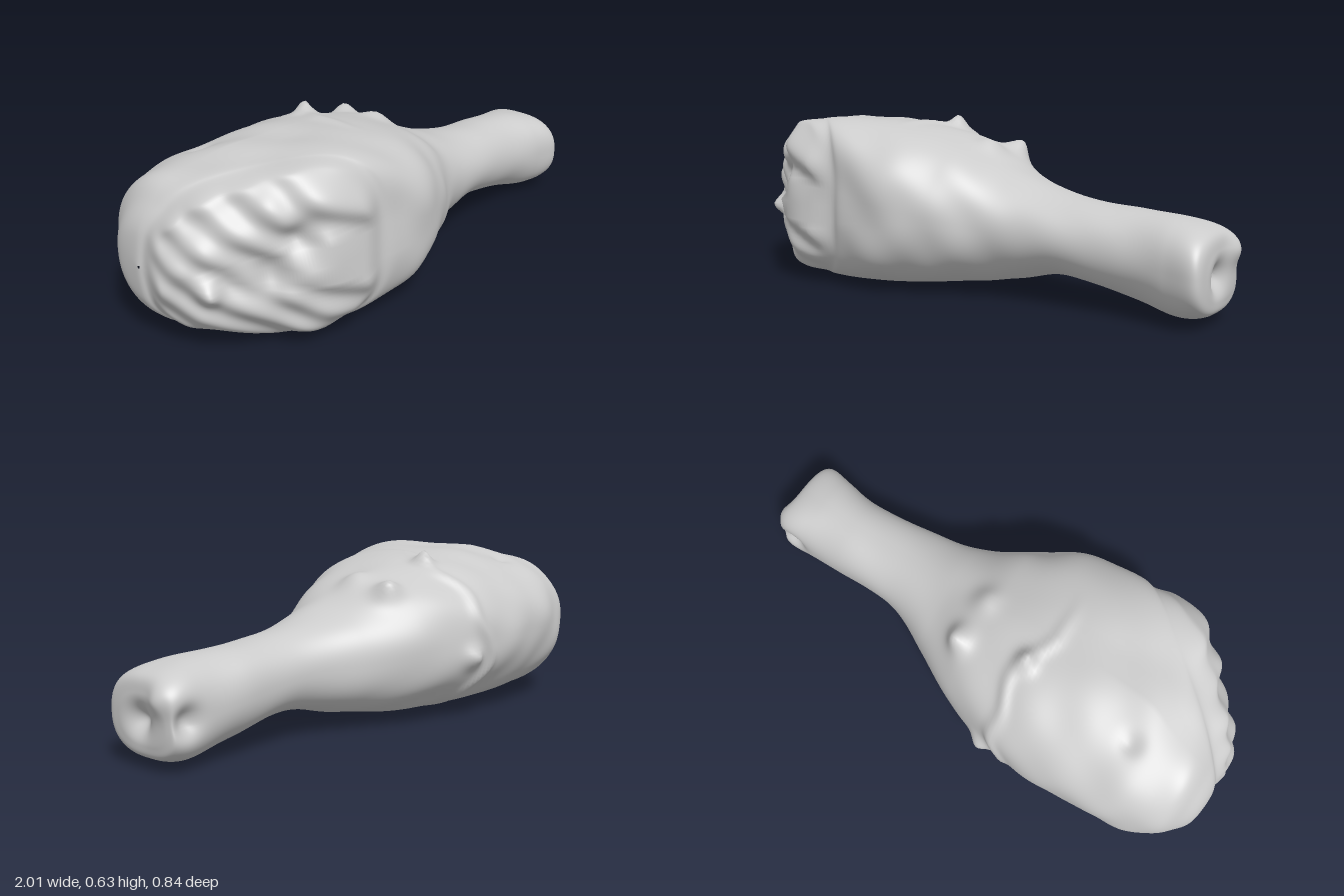
import * as THREE from 'three';

const { smoothstep, clamp } = THREE.MathUtils;
const bell = (v, width) => Math.exp(-((v / width) ** 2));

// Cross-sections along the leg: x, bottom, top, back z, front z
const SECTIONS = [
  [-1.0, 0.28, 0.29, -0.13, -0.12],
  [-0.985, 0.16, 0.41, -0.24, 0.0],
  [-0.94, 0.09, 0.49, -0.3, 0.09],
  [-0.88, 0.06, 0.55, -0.355, 0.15],
  [-0.77, 0.03, 0.59, -0.4, 0.25],
  [-0.64, 0.015, 0.62, -0.42, 0.365],
  [-0.4, 0.008, 0.62, -0.42, 0.4],
  [-0.18, 0.015, 0.595, -0.39, 0.41],
  [0.0, 0.03, 0.545, -0.33, 0.34],
  [0.2, 0.06, 0.45, -0.215, 0.255],
  [0.42, 0.105, 0.385, -0.115, 0.22],
  [0.68, 0.06, 0.362, -0.098, 0.21],
  [0.84, 0.028, 0.352, -0.09, 0.237],
  [0.95, 0.045, 0.32, -0.09, 0.252],
  [0.975, 0.09, 0.26, -0.05, 0.19],
  [0.978, 0.18, 0.181, 0.07, 0.071],
];

// Local pushes and dents: centre, radius, offset
const BUMPS = [
  [0.97, 0.25, -0.02, 0.06, 0.025, 0, 0], // bone knuckles and the groove between them
  [0.96, 0.17, 0.09, 0.06, -0.05, 0, 0],
  [0.92, 0.18, -0.1, 0.06, 0, 0, 0.045],
  [-0.21, 0.6, -0.14, 0.045, 0, 0.05, 0], // torn skin knobs
  [-0.18, 0.25, -0.39, 0.05, 0, 0, -0.035],
  [0.04, 0.49, -0.16, 0.06, 0.02, 0.045, -0.02],
  [0.04, 0.53, 0, 0.07, 0, 0.03, 0],
  [-0.66, 0.6, -0.2, 0.05, 0, -0.02, 0], // dimple on the meat
  [-0.78, 0.54, 0.24, 0.07, -0.02, 0.01, 0.02], // ragged lumps of the cut end
  [-0.7, 0.42, 0.32, 0.07, 0.02, 0, -0.04],
  [-0.92, 0.25, 0.1, 0.05, -0.025, 0, 0.035],
  [-0.78, 0.28, 0.25, 0.07, 0.02, 0, -0.03],
];

// Smooth interpolation of a whole section row
function sectionAt(t) {
  const last = SECTIONS.length - 1;
  const i = Math.min(Math.floor(t), last - 1), f = t - i;
  const [a, b, c, d] = [-1, 0, 1, 2].map(k => SECTIONS[clamp(i + k, 0, last)]);
  return b.map((v, k) => {
    const m0 = (c[k] - a[k]) / 2, m1 = (d[k] - v) / 2, e = c[k] - v;
    return v + f * (m0 + f * (3 * e - 2 * m0 - m1 + f * (m0 + m1 - 2 * e)));
  });
}

const signedPow = (v, e) => Math.sign(v) * Math.pow(Math.abs(v), e);

const ripple = p =>
  Math.sin(p.x * 11 + p.y * 7 + Math.sin(p.z * 9)) * Math.sin(p.z * 13 - p.y * 10) * 0.6 +
  Math.sin(p.x * 24 - p.z * 17 + 1) * Math.sin(p.y * 23 + p.x * 5) * 0.4;

// One surface point of the leg, with its folds and lumps
function surfacePoint(t, angle) {
  const [x, y0, y1, z0, z1] = sectionAt(t);
  const c = Math.cos(angle), s = Math.sin(angle);

  // Boxy towards the front of the meat and at the knuckles, round elsewhere
  const knuckle = bell(x - 0.93, 0.1);
  const squareness = c > 0 ? 2 + 2 * bell(x + 0.55, 0.4) + 0.5 * knuckle : 2.2 + 0.7 * knuckle;
  const tilt = 0.06 * bell(x + 0.55, 0.22) * c * Math.max(s, 0);
  const base = new THREE.Vector3(x,
    (y0 + y1) / 2 + (y1 - y0) / 2 * signedPow(s, 2 / squareness) + tilt,
    (z0 + z1) / 2 + (z1 - z0) / 2 * signedPow(c, 2 / squareness));
  const p = base.clone();
  const out = new THREE.Vector3(0, s, c);

  // Gentle unevenness, weaker on the bone and underneath
  const meat = 1 - smoothstep(x, 0.05, 0.4);
  const upper = smoothstep(base.y, 0, 0.12);
  p.addScaledVector(out, ripple(base) * (0.003 + 0.006 * meat) * upper * smoothstep(x, -1, -0.9));

  // Ragged slanted cut, standing proud behind a groove
  const d = -0.65 * base.x + 0.76 * base.z;
  const rough = Math.sin(base.y * 38 + base.x * 14) * Math.sin(base.z * 31 + base.y * 12);
  const push = smoothstep(d, 0.58, 0.62) * (0.012 + 0.016 * rough) - 0.014 * bell(d - 0.575, 0.02);
  p.x -= 0.65 * push;
  p.z += 0.76 * push;

  // Edge of the skin wrapping around the meat
  const edge = -0.23 + 0.03 * Math.sin(angle * 3 + 1) + 0.02 * Math.sin(angle * 7);
  p.addScaledVector(out, 0.013 * bell(x - edge, 0.025) * smoothstep(-base.z, -0.2, 0.05) * upper);

  for (const [bx, by, bz, r, dx, dy, dz] of BUMPS) {
    const w = bell(Math.hypot(base.x - bx, base.y - by, base.z - bz), r * 0.8);
    p.x += dx * w;
    p.y += dy * w;
    p.z += dz * w;
  }
  p.y = Math.max(p.y, 0);
  return p;
}

export function createModel() {
  const group = new THREE.Group();
  group.name = 'drumstick';

  // Closed rings joined from the meaty end to the bone end
  const rings = 240, sides = 150, points = [], index = [];
  for (let i = 0; i <= rings; i++) {
    for (let j = 0; j < sides; j++) {
      points.push(surfacePoint(i / rings * (SECTIONS.length - 1), j / sides * Math.PI * 2));
      if (i === rings) continue;
      const a = i * sides + j, b = i * sides + (j + 1) % sides;
      index.push(a, a + sides, b, b, a + sides, b + sides);
    }
  }
  const geometry = new THREE.BufferGeometry().setFromPoints(points);
  geometry.setIndex(index);
  geometry.computeVertexNormals();

  const leg = new THREE.Mesh(geometry, new THREE.MeshStandardMaterial({ color: 0xcccccc }));
  leg.name = 'meatAndBone';
  group.add(leg);
  return group;
}
